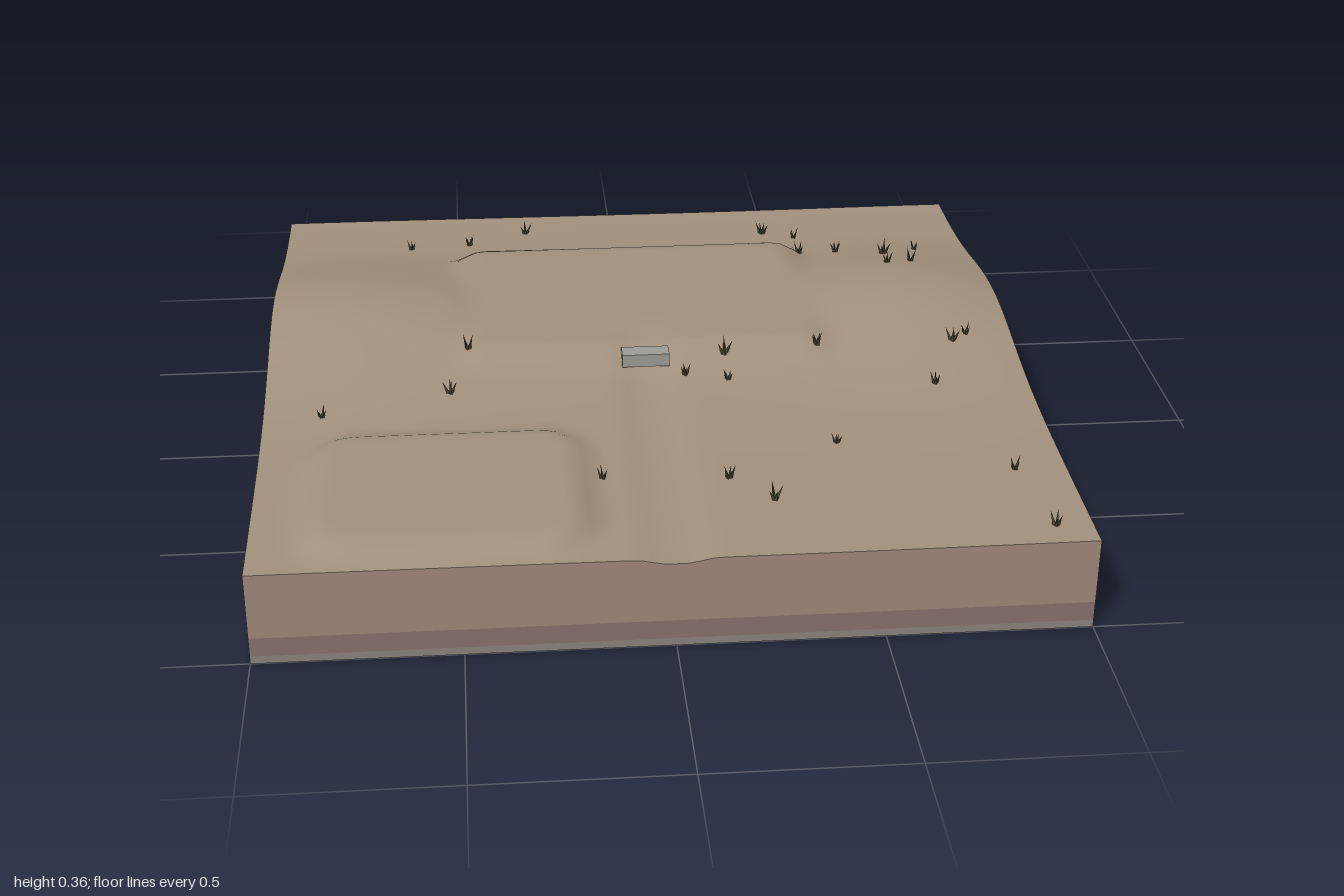
import * as THREE from 'three';
import { mergeGeometries } from 'three/addons/utils/BufferGeometryUtils.js';

const N = 72; // terrain cells per side
const { smoothstep, lerp } = THREE.MathUtils;
const bell = (d, s) => Math.exp(-(d * d) / (2 * s * s));

// Signed distance to a rounded rectangle
function plotDistance(x, z, cx, cz, hx, hz, r) {
  const qx = Math.abs(x - cx) - hx + r, qz = Math.abs(z - cz) - hz + r;
  return Math.hypot(Math.max(qx, 0), Math.max(qz, 0)) + Math.min(Math.max(qx, qz), 0) - r;
}

// Ground height: a ridge with two hills, two levelled plots and a sunken path
function height(x, z) {
  const hills = 0.11 * bell(x + 0.82, 0.33) + 0.095 * bell(x - 0.79, 0.27);
  const middle = 0.05 * bell(x, 0.4);
  let y = 0.243 + (hills + middle) * bell(z + 0.23, 0.27);
  y += 0.003 * Math.sin(2.6 * x + 0.8) * Math.cos(2.1 * z) - 0.003 * smoothstep(z, 0.3, 1);

  const house = 1 - smoothstep(plotDistance(x, z, 0, -0.28, 0.43, 0.3, 0.01), 0, 0.1);
  y = lerp(y, 0.32, house);
  const garden = 1 - smoothstep(plotDistance(x, z, -0.53, 0.67, 0.3, 0.24, 0.08), 0, 0.08);
  y = lerp(y, 0.275, garden);

  const path = 1 - smoothstep(Math.abs(x), 0.02, 0.1);
  return y - 0.013 * path * smoothstep(z, -0.12, 0.06);
}

const paint = (color, side = THREE.FrontSide) => new THREE.MeshStandardMaterial({ color, side });

function add(parent, name, geometry, material) {
  const mesh = new THREE.Mesh(geometry, material);
  mesh.name = name;
  parent.add(mesh);
  return mesh;
}

function terrain() {
  const g = new THREE.PlaneGeometry(2, 2, N, N).rotateX(-Math.PI / 2);
  const p = g.attributes.position;
  for (let i = 0; i < p.count; i++) p.setY(i, height(p.getX(i), p.getZ(i)));
  g.computeVertexNormals();
  return g;
}

// Four walls between two levels; each level is a number or follows the ground
function wallRing(bottom, top) {
  const sides = [];
  for (let k = 0; k < 4; k++) {
    const g = new THREE.PlaneGeometry(2, 1, N, 1).translate(0, 0, 1).rotateY(k * Math.PI / 2);
    const p = g.attributes.position;
    for (let i = 0; i < p.count; i++) {
      const level = p.getY(i) > 0 ? top : bottom;
      p.setY(i, typeof level === 'number' ? level : level(p.getX(i), p.getZ(i)));
    }
    sides.push(g);
  }
  return mergeGeometries(sides);
}

// A tuft of thin blades leaning outward
function tuftGeometry() {
  const blades = [];
  for (let i = 0; i < 4; i++) {
    const h = 0.03 + 0.005 * (i % 3);
    const blade = new THREE.ConeGeometry(0.005, h, 3).translate(0, h / 2, 0);
    blades.push(blade.rotateZ(-0.3 - 0.12 * (i % 2)).translate(0.003, 0, 0).rotateY(i * 1.65));
  }
  return mergeGeometries(blades);
}

export function createModel() {
  const model = new THREE.Group();
  model.name = 'landPlot';

  add(model, 'groundSurface', terrain(), paint(0xa08f7b));

  // Soil layers and underside
  add(model, 'upperSoil', wallRing(0.07, height), paint(0x9f8778));
  add(model, 'lowerSoil', wallRing(0.02, 0.07), paint(0x88706a));
  add(model, 'bedrock', wallRing(0, 0.02), paint(0x8b837c));
  add(model, 'underside', new THREE.PlaneGeometry(2, 2).rotateX(Math.PI / 2), paint(0x59534b));

  // Stone step at the head of the path
  const step = add(model, 'stoneStep', new THREE.BoxGeometry(0.125, 0.035, 0.05), paint(0x9b9b94));
  step.position.set(-0.002, 0.298, 0.077);

  // Grass tufts, as x, z pairs
  const spots = [
    [-0.63, -0.75], [-0.46, -0.78], [-0.29, -0.87], [0.42, -0.81], [0.51, -0.76], [0.5, -0.58],
    [0.61, -0.59], [0.74, -0.53], [0.84, -0.58], [0.73, -0.41], [0.8, -0.42], [0.83, 0.05],
    [0.87, 0.02], [0.75, 0.23], [0.46, 0.05], [0.21, 0.07], [0.21, 0.16], [0.1, 0.13],
    [-0.47, 0.02], [-0.52, 0.19], [-0.85, 0.28], [-0.15, 0.62], [0.16, 0.64], [0.26, 0.75],
    [0.45, 0.49], [0.87, 0.65], [0.91, 0.92],
  ];
  const grass = new THREE.Group();
  grass.name = 'grassTufts';
  model.add(grass);
  const blades = tuftGeometry(), green = paint(0x50482f);
  spots.forEach(([x, z], i) => {
    const tuft = add(grass, 'grassTuft', blades, green);
    tuft.position.set(x, height(x, z) - 0.003, z);
    tuft.rotation.y = i * 2.4;
    tuft.scale.setScalar(0.9 + 0.1 * (i % 4));
  });

  return model;
}
